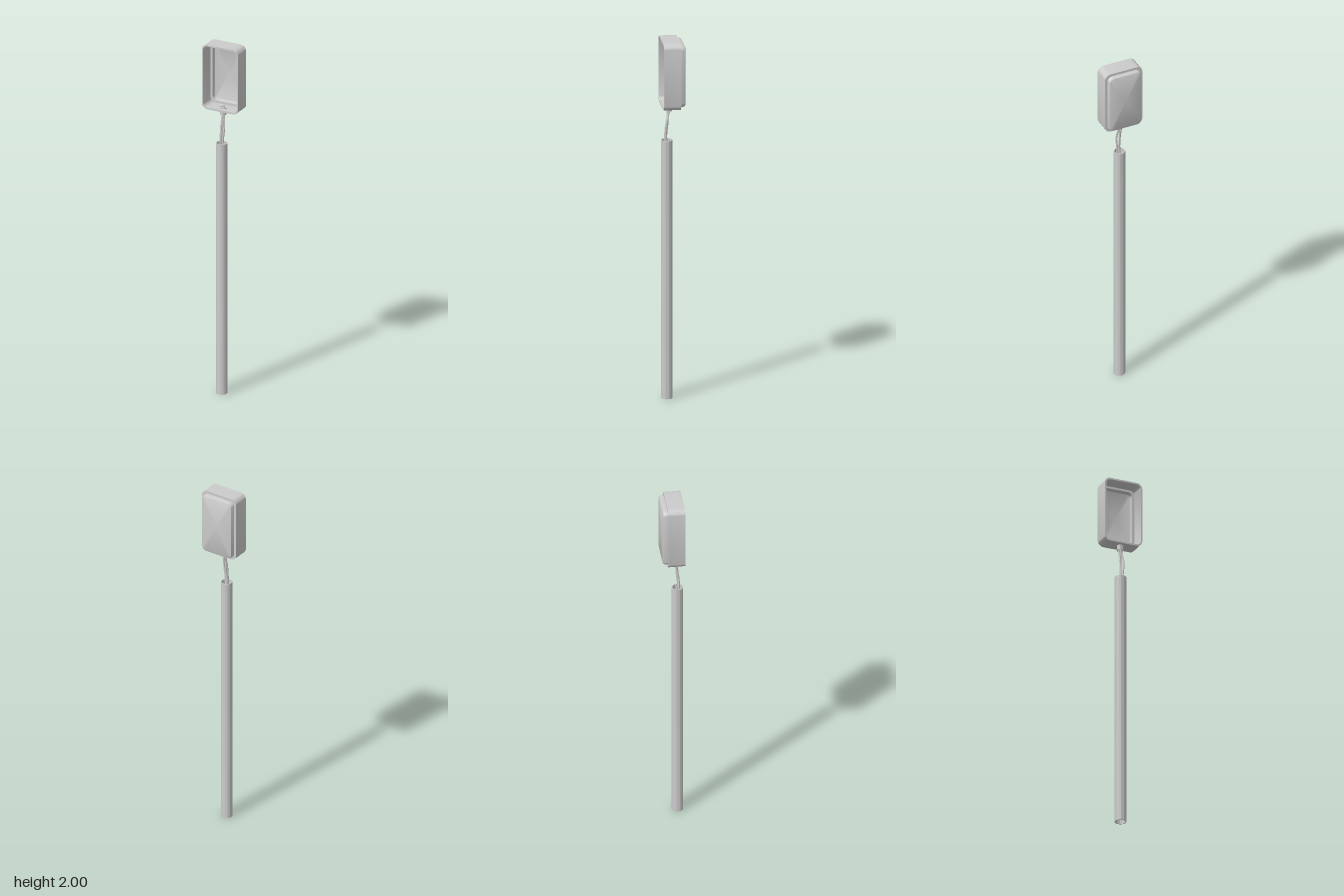
import * as THREE from 'three';
import { toCreasedNormals } from 'three/addons/utils/BufferGeometryUtils.js';

const material = new THREE.MeshStandardMaterial({ color: 0xcccccc });

function addPart(group, name, geometry, x = 0, y = 0, z = 0) {
  const mesh = new THREE.Mesh(geometry, material);
  mesh.name = name;
  mesh.position.set(x, y, z);
  group.add(mesh);
}

// Rounded rectangle, counter-clockwise seen from the front
function ring([halfW, halfH, r, z], steps = 8) {
  const points = [];
  const signs = [[1, 1], [-1, 1], [-1, -1], [1, -1]];
  signs.forEach(([sx, sy], corner) => {
    for (let i = 0; i <= steps; i++) {
      const a = (corner + i / steps) * Math.PI / 2;
      points.push([sx * (halfW - r) + r * Math.cos(a), sy * (halfH - r) + r * Math.sin(a), z]);
    }
  });
  return points;
}

// Skin through a run of rounded rectangles
function loft(sections) {
  const rings = sections.map((s) => ring(s));
  const n = rings[0].length;
  const positions = [];
  for (let i = 0; i < rings.length - 1; i++) {
    for (let j = 0; j < n; j++) {
      const k = (j + 1) % n;
      const a = rings[i][j], b = rings[i][k], c = rings[i + 1][j], d = rings[i + 1][k];
      positions.push(...a, ...c, ...b, ...b, ...c, ...d);
    }
  }
  const geometry = new THREE.BufferGeometry();
  geometry.setAttribute('position', new THREE.Float32BufferAttribute(positions, 3));
  return toCreasedNormals(geometry, 0.6);
}

// Hollow tube standing on y = 0
function pipe(outer, inner, height, sides = 32) {
  const profile = [[inner, 0], [outer, 0], [outer, height], [inner, height], [inner, 0]];
  const geometry = new THREE.LatheGeometry(profile.map(([x, y]) => new THREE.Vector2(x, y)), sides);
  return toCreasedNormals(geometry, 0.6);
}

export function createModel() {
  const group = new THREE.Group();

  // Hollow pole
  addPart(group, 'pole', pipe(0.031, 0.027, 1.44), -0.005, 0, 0.028);

  // Open-fronted housing: inner tray, rim, outer wall, stepped back with rounded edge
  const housing = loft([
    [0, 0, 0, -0.054],
    [0.082, 0.156, 0.018, -0.054],
    [0.087, 0.161, 0.022, -0.052],
    [0.09, 0.164, 0.024, -0.046],
    [0.09, 0.164, 0.024, -0.028],
    [0.102, 0.176, 0.026, -0.028],
    [0.102, 0.176, 0.026, 0.057],
    [0.11, 0.185, 0.033, 0.057],
    [0.11, 0.185, 0.033, -0.035],
    [0.097, 0.171, 0.028, -0.035],
    [0.097, 0.171, 0.028, -0.051],
    [0.094, 0.168, 0.026, -0.058],
    [0.088, 0.162, 0.02, -0.061],
    [0, 0, 0, -0.061],
  ]);
  addPart(group, 'housing', housing, 0, 1.815, 0);

  // Cable gland under the housing and its collar inside
  addPart(group, 'cableGland', pipe(0.018, 0.013, 0.038), -0.002, 1.602, 0.017);
  addPart(group, 'glandCollar', pipe(0.022, 0.013, 0.006), -0.002, 1.638, 0.017);

  // Wires running from the pole up through the gland
  const wires = [
    [[-0.012, 1.38, 0.03], [-0.008, 1.46, 0.036], [-0.008, 1.54, 0.028], [-0.008, 1.6, 0.014], [-0.008, 1.65, 0.014]],
    [[0.004, 1.38, 0.034], [0.006, 1.46, 0.034], [0.012, 1.53, 0.031], [0.004, 1.6, 0.018], [0.005, 1.65, 0.02]],
    [[-0.004, 1.38, 0.022], [-0.004, 1.46, 0.03], [-0.003, 1.54, 0.023], [-0.002, 1.6, 0.024], [-0.003, 1.65, 0.024]],
  ];
  wires.forEach((points, i) => {
    const curve = new THREE.CatmullRomCurve3(points.map((p) => new THREE.Vector3(...p)));
    addPart(group, `wire${i + 1}`, new THREE.TubeGeometry(curve, 32, 0.005, 10));
    // Closed wire ends
    const end = points[points.length - 1];
    addPart(group, `wireEnd${i + 1}`, new THREE.SphereGeometry(0.005, 10, 6), ...end);
  });

  return group;
}
